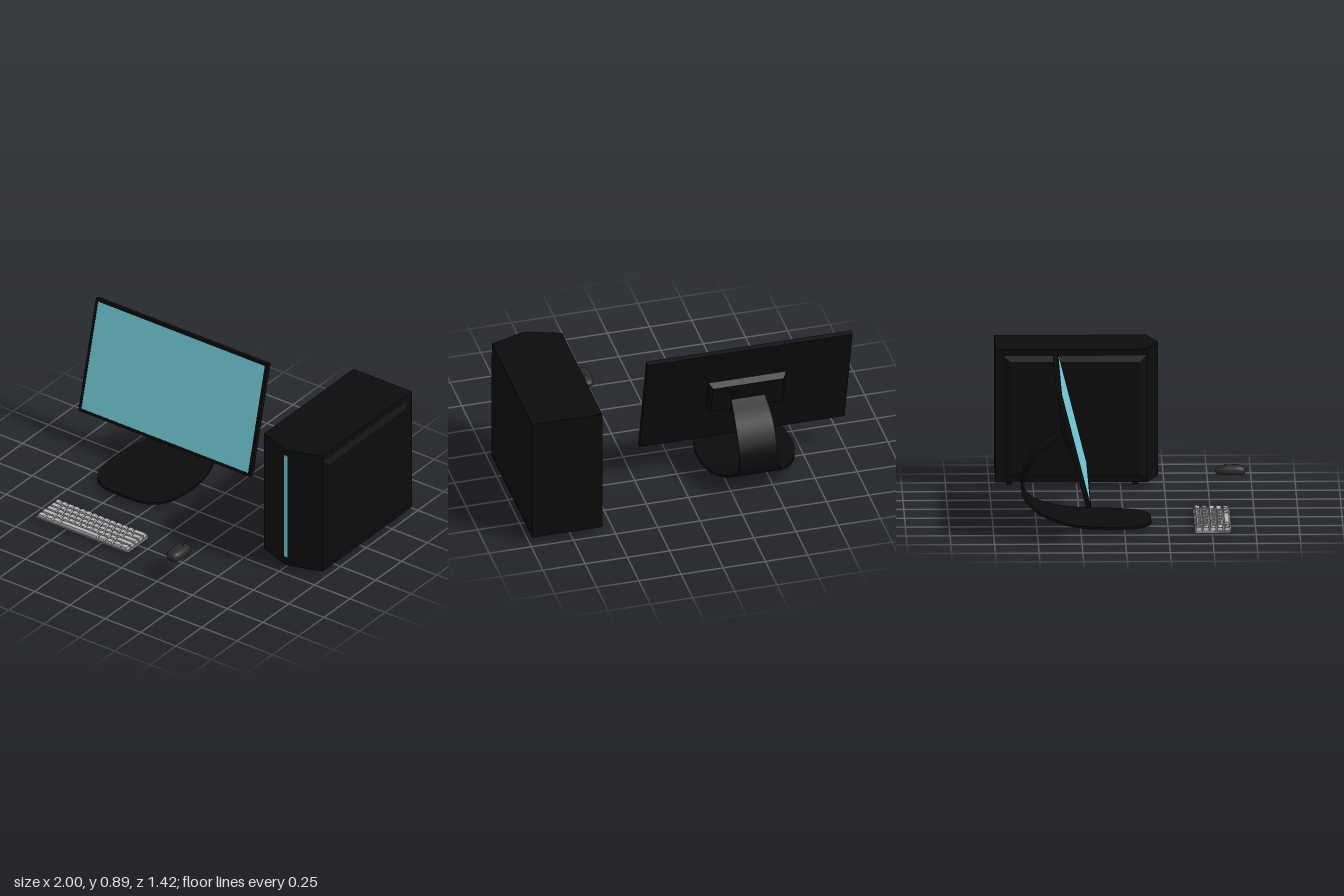
import * as THREE from 'three';
import { mergeGeometries, toCreasedNormals } from 'three/addons/utils/BufferGeometryUtils.js';

const mat = (color) => new THREE.MeshStandardMaterial({ color });
const black = mat(0x0b0b0b), cyan = mat(0x74cbd9), charcoal = mat(0x2a2a2a);
const keyGrey = mat(0xb4b4b4), caseGrey = mat(0x8c8c8c);

function part(parent, name, geometry, material, x = 0, y = 0, z = 0) {
  const mesh = new THREE.Mesh(geometry, material);
  mesh.name = name;
  mesh.position.set(x, y, z);
  parent.add(mesh);
  return mesh;
}

function group(parent, name) {
  const g = new THREE.Group();
  g.name = name;
  parent.add(g);
  return g;
}

const box = (w, h, d) => new THREE.BoxGeometry(w, h, d);
const polygon = (points) => new THREE.Shape(points.map(([x, y]) => new THREE.Vector2(x, y)));
const extrude = (shape, depth) => new THREE.ExtrudeGeometry(shape, { depth, bevelEnabled: false });

// Box standing on y = 0 whose top is inset on all four sides
function taperedBox(w, h, d, insetX, insetZ) {
  const g = box(w, h, d).translate(0, h / 2, 0);
  const p = g.attributes.position;
  for (let i = 0; i < p.count; i++) {
    if (p.getY(i) < h / 2) continue;
    p.setX(i, p.getX(i) - Math.sign(p.getX(i)) * insetX);
    p.setZ(i, p.getZ(i) - Math.sign(p.getZ(i)) * insetZ);
  }
  g.computeVertexNormals();
  return g;
}

// One bent sheet: rounded foot sweeping up into the neck
function standGeometry() {
  // z, y, centre x, half width
  const stations = [
    [0.155, 0.03, -0.43, 0.07], [0.145, 0.03, -0.43, 0.14], [0.11, 0.03, -0.43, 0.205],
    [0.04, 0.031, -0.43, 0.255], [-0.08, 0.033, -0.43, 0.279], [-0.2, 0.036, -0.428, 0.278],
    [-0.3, 0.044, -0.422, 0.26], [-0.4, 0.065, -0.413, 0.225], [-0.5, 0.105, -0.402, 0.17],
    [-0.565, 0.165, -0.395, 0.128], [-0.58, 0.23, -0.393, 0.115], [-0.555, 0.33, -0.393, 0.112],
    [-0.48, 0.44, -0.393, 0.11], [-0.35, 0.525, -0.393, 0.1],
  ];
  const edge = (side) => new THREE.CatmullRomCurve3(
    stations.map(([z, y, cx, hw]) => new THREE.Vector3(cx + side * hw, y, z)), false, 'catmullrom');
  const left = edge(-1), right = edge(1), n = 65, t = 0.007;
  const pos = [], idx = [];
  for (let i = 0; i <= n; i++) {
    const a = left.getPoint(i / n), b = right.getPoint(i / n);
    const c0 = left.getPoint(Math.max(0, i - 0.2) / n), c1 = left.getPoint(Math.min(n, i + 0.2) / n);
    const dir = c1.sub(c0).setX(0).normalize();
    const ny = -dir.z * t, nz = dir.y * t;
    pos.push(a.x, a.y + ny, a.z + nz, b.x, b.y + ny, b.z + nz,
      b.x, b.y - ny, b.z - nz, a.x, a.y - ny, a.z - nz);
    if (i === n) break;
    for (let k = 0; k < 4; k++) {
      const p = i * 4 + k, q = i * 4 + (k + 1) % 4;
      idx.push(p, q, q + 4, p, q + 4, p + 4);
    }
  }
  const e = n * 4;
  idx.push(3, 2, 1, 3, 1, 0, e, e + 1, e + 2, e, e + 2, e + 3);
  const g = new THREE.BufferGeometry();
  g.setAttribute('position', new THREE.Float32BufferAttribute(pos, 3));
  g.setIndex(idx);
  return toCreasedNormals(g, 0.7);
}

function addMonitor(root) {
  const monitor = group(root, 'monitor');
  const panel = group(monitor, 'tiltedPanel');
  panel.position.set(-0.3925, 0.55, -0.2975);
  panel.rotation.x = -0.249;
  const w = 0.6075, h = 0.347, b = 0.017;
  const rim = polygon([[-w, -h], [w, -h], [w, h], [-w, h]]);
  rim.holes.push(polygon([[-w + b, -h + b], [-w + b, h - b], [w - b, h - b], [w - b, -h + b]]));
  part(panel, 'bezel', extrude(rim, 0.03), black, 0, 0, -0.015);
  part(panel, 'backPanel', box(2 * w - 0.01, 2 * h - 0.01, 0.02), black, 0, 0, -0.0048);
  part(panel, 'screen', box(2 * (w - b), 2 * (h - b), 0.006), cyan, 0, 0, 0.01);
  const mount = part(panel, 'mountPlate', taperedBox(0.46, 0.035, 0.23, 0.02, 0.02), black, 0, 0, -0.014);
  mount.rotation.x = -Math.PI / 2;
  part(monitor, 'stand', standGeometry(), black);
}

function addTower(root) {
  const tower = group(root, 'tower');
  // Footprint with a wedge-shaped front, pulled upward
  const plan = polygon([[0.57, -0.15], [0.73, -0.207], [0.76, -0.217], [0.79, -0.217],
    [0.82, -0.207], [0.985, -0.15], [0.985, 0.715], [0.57, 0.715]].reverse());
  part(tower, 'case', extrude(plan, 0.775).rotateX(-Math.PI / 2), black, 0, 0.04, 0);
  // Raised side panels with bevelled borders
  for (const s of [-1, 1]) {
    const side = taperedBox(0.72, 0.016, 0.82, 0.035, 0.04).rotateZ(-s * Math.PI / 2);
    part(tower, s > 0 ? 'leftSidePanel' : 'rightSidePanel', side, black, s > 0 ? 0.984 : 0.571, 0.42, -0.26);
    for (const z of [0.085, -0.635]) {
      part(tower, 'foot', box(0.03, 0.03, 0.03), black, 0.775 + s * 0.13, 0.03, z);
    }
  }
  part(tower, 'lightStrip', box(0.025, 0.68, 0.012), cyan, 0.773, 0.435, 0.214);
  // Slim vent on the slanted front
  const vent = part(tower, 'frontVent', box(0.022, 0.33, 0.006), black, 0.968, 0.275, 0.157);
  vent.rotation.y = 0.33;
}

function addKeyboard(root) {
  const keyboard = group(root, 'keyboard');
  const profile = polygon([[-0.61, 0.008], [-0.59, 0.004], [-0.4, 0.003], [-0.4, 0.02], [-0.61, 0.017]]);
  part(keyboard, 'keyboardCase', extrude(profile, 0.645).rotateY(Math.PI / 2), caseGrey, -0.71, 0, 0);
  const ones = (n) => Array(n).fill(1);
  // Key widths for each row, back to front
  const rows = [
    [...ones(13), 2],
    [1.5, ...ones(12), 1.5],
    [1.75, ...ones(11), 2.25],
    [2.25, ...ones(10), 2.75],
    [1.25, 1.25, 1.25, 6.25, 1.25, 1.25, 1.25, 1.25],
  ];
  const unit = 0.0425, keys = [];
  rows.forEach((row, r) => {
    let x = -0.706;
    for (const k of row) {
      const w = k * unit;
      keys.push(taperedBox(w - 0.005, 0.017, 0.035, 0.004, 0.004)
        .rotateX(0.06).translate(x + w / 2, 0.0195 - r * 0.0006, 0.424 + r * 0.0405));
      x += w;
    }
  });
  part(keyboard, 'keys', mergeGeometries(keys), keyGrey);
}

function addMouse(root) {
  const mouse = group(root, 'mouse');
  mouse.position.set(0.312, 0.157, 0.6225);
  // Sphere squared off in plan, flat underneath, humped toward the back
  const g = new THREE.SphereGeometry(1, 40, 28);
  const p = g.attributes.position;
  const square = (v) => Math.sign(v) * Math.abs(v) ** 0.72;
  for (let i = 0; i < p.count; i++) {
    const x = square(p.getX(i)), z = square(p.getZ(i)), y = p.getY(i);
    const top = 0.035 + 0.005 * z;
    p.setXYZ(i, x * 0.048 * (0.95 + 0.05 * z * z),
      y > 0 ? y ** 0.85 * top : Math.max(y * 0.034, -0.017), z * 0.0875);
  }
  g.computeVertexNormals();
  part(mouse, 'mouseBody', g, charcoal);
  const wheel = new THREE.CylinderGeometry(0.016, 0.016, 0.01, 24).rotateZ(Math.PI / 2);
  part(mouse, 'scrollWheel', wheel, black, 0, 0.019, -0.032);
}

export function createModel() {
  const root = new THREE.Group();
  root.name = 'desktopComputer';
  addMonitor(root);
  addTower(root);
  addKeyboard(root);
  addMouse(root);
  return root;
}
